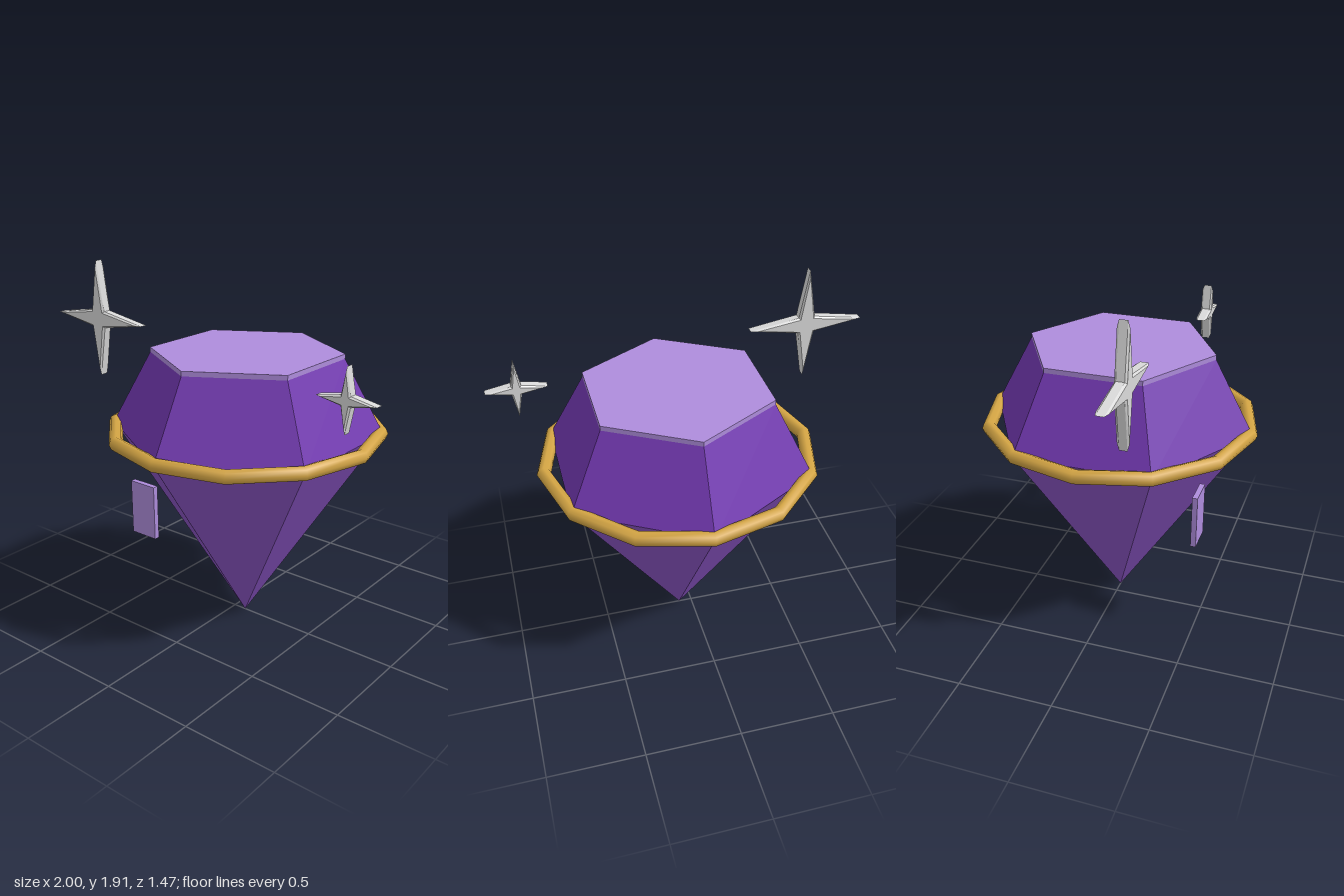
import * as THREE from 'three';

function material(name, color, flatShading = true) {
  const m = new THREE.MeshStandardMaterial({ color, flatShading });
  m.name = name;
  return m;
}

// Four-pointed star with chamfered rims, built from rings of eight points
function starGeometry(tip, notch, faceTip, faceNotch, halfDepth, chamfer) {
  const ring = (a, b, z) => Array.from({ length: 8 }, (_, i) => {
    const r = i % 2 ? b : a, t = (i * Math.PI) / 4;
    return [r * Math.cos(t), r * Math.sin(t), z];
  });
  const rings = [
    ring(0, 0, -halfDepth),
    ring(faceTip, faceNotch, -halfDepth),
    ring(tip, notch, -halfDepth + chamfer),
    ring(tip, notch, halfDepth - chamfer),
    ring(faceTip, faceNotch, halfDepth),
    ring(0, 0, halfDepth),
  ];
  const pos = [];
  for (let k = 0; k < 5; k++) {
    for (let i = 0; i < 8; i++) {
      const j = (i + 1) % 8;
      const a = rings[k][i], b = rings[k][j], c = rings[k + 1][j], d = rings[k + 1][i];
      if (k > 0) pos.push(...a, ...b, ...(k === 4 ? d : c));
      if (k < 4) pos.push(...a, ...c, ...d);
    }
  }
  const g = new THREE.BufferGeometry();
  g.setAttribute('position', new THREE.Float32BufferAttribute(pos, 3));
  g.computeVertexNormals();
  return g;
}

export function createModel() {
  const group = new THREE.Group();
  const crownPurple = material('crown purple', 0x7238b0);
  const pavilionPurple = material('pavilion purple', 0x8a54c4);
  const lilac = material('pale lilac', 0xae8cdc);
  const gold = material('gold', 0xd4a544, false);
  const silver = material('silver', 0xdadada);

  const add = (name, geometry, mat, x, y, z) => {
    const mesh = new THREE.Mesh(geometry, mat);
    mesh.name = name;
    mesh.position.set(x, y, z);
    group.add(mesh);
    return mesh;
  };

  // Six-sided gem: pointed pavilion, tapered crown and thin table
  const cx = 0.072, girdleY = 1.083, crownTop = 1.47, girdleR = 0.71, tableR = 0.5;
  const hexagon = (top, bottom, h) => new THREE.CylinderGeometry(top, bottom, h, 6);
  add('pavilion', hexagon(girdleR, 0, girdleY), pavilionPurple, cx, girdleY / 2, 0);
  add('crown', hexagon(tableR, girdleR, crownTop - girdleY), crownPurple, cx, (girdleY + crownTop) / 2, 0);
  add('table', hexagon(tableR, tableR, 0.028), lilac, cx, 1.481, 0);

  // Twelve-sided band around the girdle
  const band = add('girdleRing', new THREE.TorusGeometry(0.698, 0.037, 8, 12), gold, cx, girdleY, 0);
  band.rotation.x = Math.PI / 2;

  // Floating glint plate
  add('glint', new THREE.BoxGeometry(0.155, 0.285, 0.028), lilac, -0.193, 0.718, 0.502);

  // Sparkles
  add('largeSparkle', starGeometry(0.306, 0.062, 0.27, 0.05, 0.03, 0.01), silver, -0.694, 1.603, 0.265);
  add('smallSparkle', starGeometry(0.158, 0.036, 0.13, 0.026, 0.03, 0.01), silver, 0.841, 1.445, 0.265);

  return group;
}
